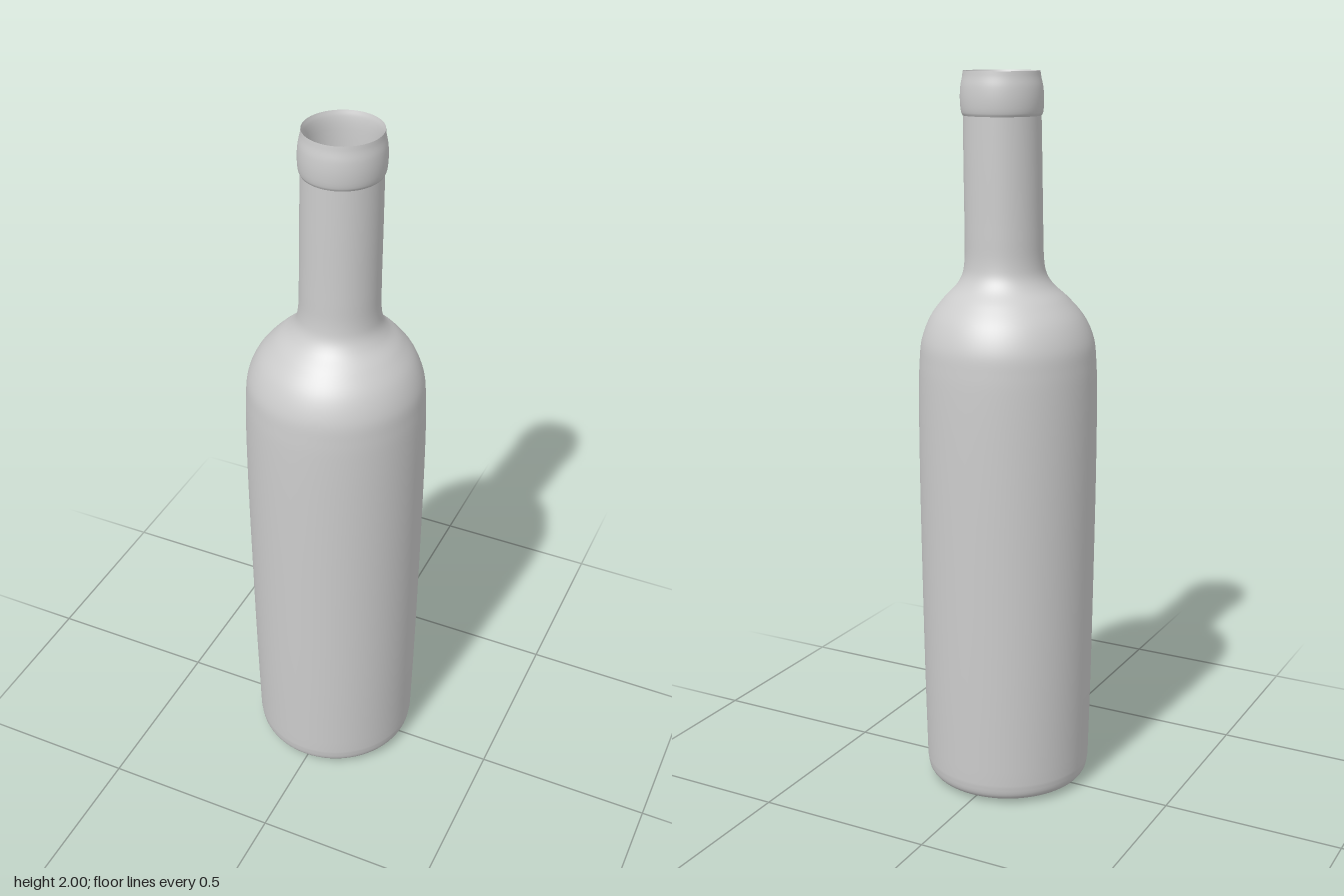
import * as THREE from 'three';

// Smooth profile through [radius, height] points
function profile(points, samples) {
  const curve = new THREE.CatmullRomCurve3(
    points.map(([r, y]) => new THREE.Vector3(r, y, 0)), false, 'centripetal');
  return curve.getPoints(samples).map(p => new THREE.Vector2(Math.max(0, p.x), p.y));
}

// Sideways lean of the neck, starting at the shoulder
function lean(y) {
  const shoulder = THREE.MathUtils.smoothstep(y, 1.3, 1.5) * 0.011;
  return shoulder + Math.max(0, y - 1.5) * 0.016;
}

function turned(name, points, material) {
  const geometry = new THREE.LatheGeometry(points, 72);
  const pos = geometry.attributes.position;
  for (let i = 0; i < pos.count; i++) pos.setX(i, pos.getX(i) + lean(pos.getY(i)));
  const mesh = new THREE.Mesh(geometry, material);
  mesh.name = name;
  return mesh;
}

export function createModel() {
  const group = new THREE.Group();
  group.name = 'bottle';
  const glass = new THREE.MeshStandardMaterial({ color: 0xcccccc });
  glass.name = 'grey glass';

  // Nearly flat base, rounding up into the wall
  const base = [[0, 0], [0.1, 0.003], [0.19, 0.008], [0.215, 0.013], [0.228, 0.028], [0.234, 0.06]];
  // Slightly swelling body, round shoulder and straight neck
  const body = [
    [0.234, 0.06], [0.239, 0.3], [0.243, 0.6], [0.246, 0.95], [0.245, 1.15], [0.242, 1.23],
    [0.235, 1.29], [0.21, 1.35], [0.17, 1.4], [0.132, 1.437], [0.115, 1.465],
    [0.108, 1.5], [0.106, 1.58], [0.105, 1.75], [0.104, 1.885],
  ];
  // Bulging collar around the mouth
  const collar = [[0.104, 1.885], [0.108, 1.893], [0.111, 1.925], [0.109, 1.96], [0.104, 1.985], [0.102, 2]];
  // Inner wall from the lip down to the floor
  const inside = [
    [0.102, 2], [0.097, 1.985], [0.093, 1.95], [0.093, 1.6], [0.094, 1.5], [0.101, 1.465],
    [0.118, 1.43], [0.155, 1.392], [0.195, 1.345], [0.221, 1.285], [0.23, 1.2],
    [0.232, 0.95], [0.225, 0.3], [0.219, 0.06], [0.2, 0.03],
  ];

  group.add(
    turned('bodyAndNeck', [...profile(base, 20), ...profile(body, 80).slice(1)], glass),
    turned('collar', profile(collar, 20), glass),
    turned('innerWall', profile(inside, 80), glass),
    turned('innerFloor', [new THREE.Vector2(0.2, 0.03), new THREE.Vector2(0, 0.03)], glass),
  );
  return group;
}
